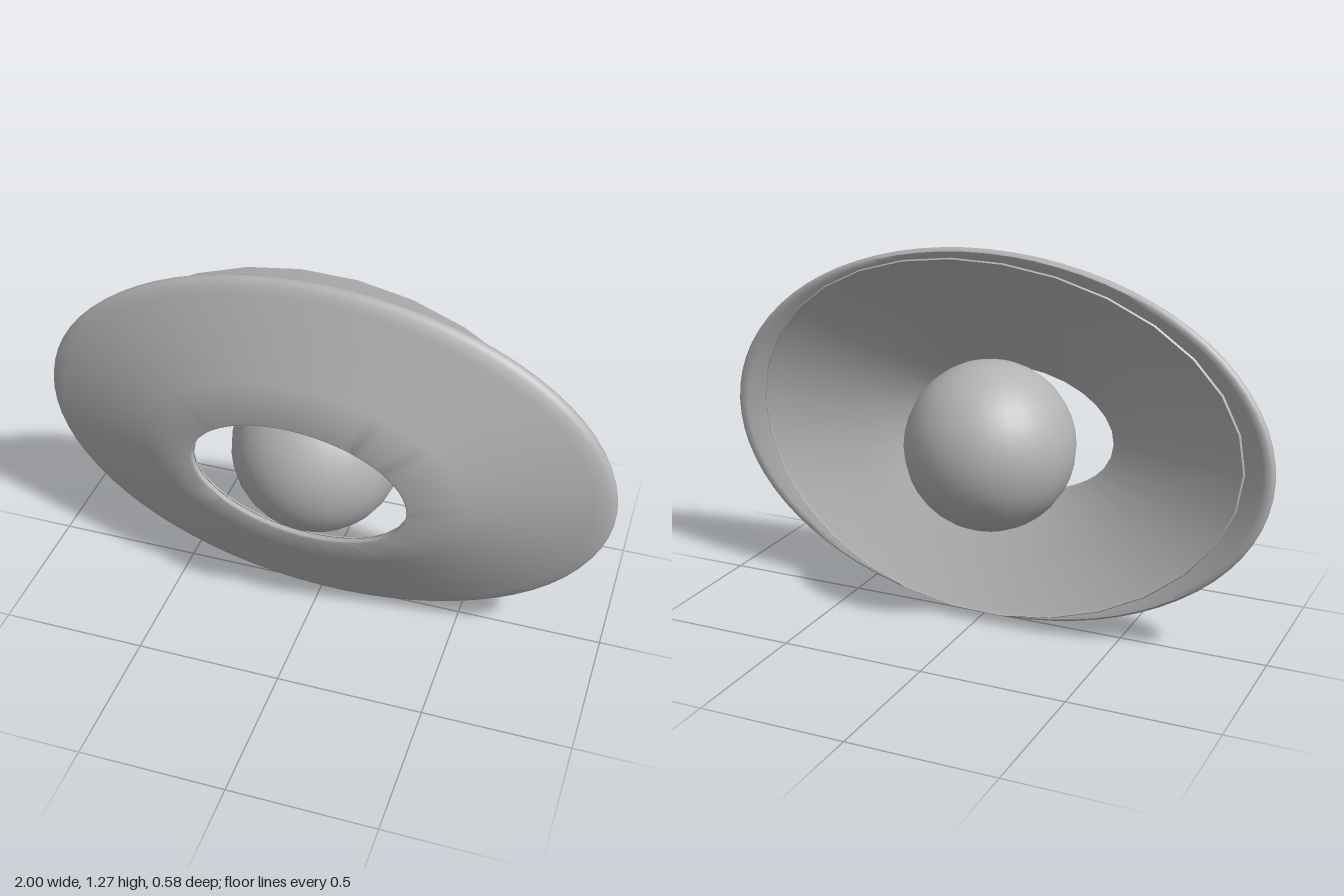
import * as THREE from 'three';
import { toCreasedNormals } from 'three/addons/utils/BufferGeometryUtils.js';

// An elliptical ring: centre, half-axes, and a tilt/bend of z around the ring.
const hole = { x: -0.02, y: 0.62, z: 0.225, a: 0.38, b: 0.22, tiltX: 0.033, tiltY: 0.008, bend: 0 };
const rim = { x: 0, y: 0.637, z: 0.02, a: 1, b: 0.637, tiltX: 0.043, tiltY: 0.013, bend: 0 };
const innerEdge = { x: 0, y: 0.645, z: -0.07, a: 0.9, b: 0.613, tiltX: 0.041, tiltY: 0.004, bend: 0.096 };

// Point at angle t, fraction f of the way from ring p to ring q, pushed dz forward.
function ringPoint(p, q, f, dz, t) {
  const mix = (k) => p[k] + (q[k] - p[k]) * f;
  const c = Math.cos(t), s = Math.sin(t);
  return [
    mix('x') + mix('a') * c,
    mix('y') + mix('b') * s,
    mix('z') + mix('tiltX') * c + mix('tiltY') * s + mix('bend') * c * c + dz,
  ];
}

// Closed shell swept around the ring from a profile of [fraction, dz] pairs.
function shell(p, q, profile, segments, crease) {
  const pos = [], index = [];
  const n = profile.length;
  for (const [f, dz] of profile) {
    for (let j = 0; j < segments; j++) {
      pos.push(...ringPoint(p, q, f, dz, (j / segments) * Math.PI * 2));
    }
  }
  for (let i = 0; i < n; i++) {
    for (let j = 0; j < segments; j++) {
      const k = (j + 1) % segments, r = (i + 1) % n;
      const a = i * segments + j, b = r * segments + j;
      const c = r * segments + k, d = i * segments + k;
      index.push(a, b, c, a, c, d);
    }
  }
  const geo = new THREE.BufferGeometry();
  geo.setAttribute('position', new THREE.Float32BufferAttribute(pos, 3));
  geo.setIndex(index);
  return toCreasedNormals(geo, crease);
}

export function createModel() {
  const group = new THREE.Group();
  const grey = new THREE.MeshStandardMaterial({ color: 0xb4b4b4, side: THREE.DoubleSide });
  grey.name = 'grey';

  const add = (name, geometry) => {
    const mesh = new THREE.Mesh(geometry, grey);
    mesh.name = name;
    group.add(mesh);
    return mesh;
  };

  // Smooth flared outer dish with a rounded rim and a central opening
  add('outerDish', shell(hole, rim, [
    [0, -0.022], [0, -0.003], [0.015, 0.003], [0.3, 0.008], [0.6, 0.013], [0.9, 0.018],
    [0.965, 0.018], [0.99, 0.01], [1, -0.002], [0.993, -0.017], [0.975, -0.027],
    [0.94, -0.03], [0.85, -0.024], [0.5, -0.016],
  ], 72, 0.9));

  // Coarser liner whose top and bottom edges sweep back behind the dish
  add('innerDish', shell(hole, innerEdge, [
    [0, -0.024], [0.5, -0.022], [0.9, -0.003], [1, 0],
    [0.99, -0.008], [0.96, -0.006], [0.5, -0.03], [0, -0.03],
  ], 30, 0.7));

  // Central ball
  add('ball', new THREE.SphereGeometry(0.29, 28, 18)).position.set(-0.02, 0.615, 0);

  return group;
}
